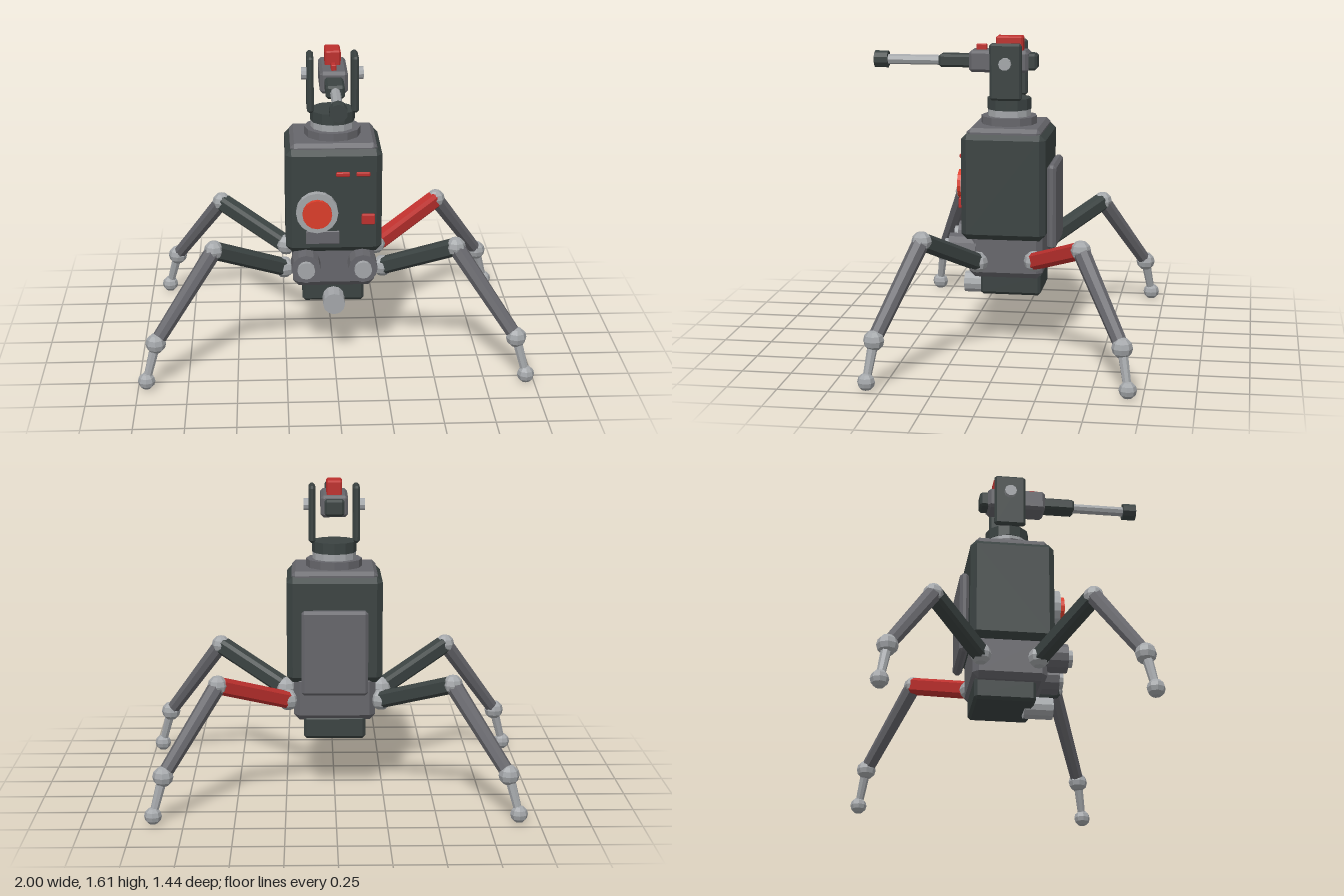
import * as THREE from 'three';
import { ConvexGeometry } from 'three/addons/geometries/ConvexGeometry.js';

const material = (name, color) => {
  const m = new THREE.MeshStandardMaterial({ color });
  m.name = name;
  return m;
};

export function createModel() {
  const model = new THREE.Group();
  model.name = 'walkingTurret';

  const dark = material('dark armour', 0x3b4342);
  const grey = material('mid grey metal', 0x66666b);
  const light = material('light steel', 0xa3a6a9);
  const red = material('red paint', 0xbd302d);
  const lamp = material('bright red lamp', 0xdb3d2a);

  // Give a geometry hard facets
  const flat = (g) => {
    const f = g.index ? g.toNonIndexed() : g;
    f.computeVertexNormals();
    return f;
  };

  const add = (name, geometry, mat, x = 0, y = 0, z = 0, parent = model) => {
    const mesh = new THREE.Mesh(geometry, mat);
    mesh.name = name;
    mesh.position.set(x, y, z);
    parent.add(mesh);
    return mesh;
  };

  // Box with every edge cut by c
  const chamferBox = (w, h, d, c) => {
    const pts = [];
    for (const i of [-0.5, 0.5]) for (const j of [-0.5, 0.5]) for (const k of [-0.5, 0.5]) {
      const p = new THREE.Vector3(i * w, j * h, k * d);
      const s = new THREE.Vector3(i, j, k).multiplyScalar(2 * c);
      pts.push(
        new THREE.Vector3(p.x, p.y - s.y, p.z - s.z),
        new THREE.Vector3(p.x - s.x, p.y, p.z - s.z),
        new THREE.Vector3(p.x - s.x, p.y - s.y, p.z));
    }
    return new ConvexGeometry(pts);
  };

  // Chamfered box given by its limits on each axis
  const block = (name, mat, [x0, x1], [y0, y1], [z0, z1], c) =>
    add(name, chamferBox(x1 - x0, y1 - y0, z1 - z0, c), mat,
      (x0 + x1) / 2, (y0 + y1) / 2, (z0 + z1) / 2);

  // Cylinder along z between z0 and z1
  const rod = (name, mat, r, x, y, z0, z1, sides, rEnd = r, parent = model) =>
    add(name, flat(new THREE.CylinderGeometry(rEnd, r, z1 - z0, sides).rotateX(Math.PI / 2)),
      mat, x, y, (z0 + z1) / 2, parent);

  // Body
  block('upperBody', dark, [-0.245, 0.245], [0.585, 1.135], [-0.2, 0.234], 0.03);
  block('topPlate', grey, [-0.22, 0.22], [1.1, 1.16], [-0.174, 0.206], 0.02);
  block('lowerHull', grey, [-0.21, 0.21], [0.38, 0.62], [-0.182, 0.198], 0.03);
  block('bellyBox', dark, [-0.16, 0.16], [0.28, 0.4], [-0.168, 0.146], 0.015);
  block('backPanel', grey, [-0.17, 0.17], [0.53, 0.97], [-0.247, -0.2], 0.015);

  // Front fittings
  rod('lampRing', light, 0.107, -0.087, 0.815, 0.22, 0.272, 16);
  rod('lampLens', lamp, 0.075, -0.087, 0.815, 0.25, 0.297, 16);
  for (const x of [0.045, 0.147]) {
    block('indicatorSlit', red, [x - 0.035, x + 0.035], [1, 1.022], [0.22, 0.247], 0.004);
  }
  block('indicatorSquare', red, [0.14, 0.208], [0.743, 0.797], [0.22, 0.25], 0.004);
  block('frontLabelPlate', grey, [-0.144, 0.027], [0.636, 0.706], [0.22, 0.241], 0.003);
  for (const x of [-0.145, 0.145]) {
    rod('sensorHousing', grey, 0.075, x, 0.524, 0.16, 0.305, 12);
    rod('sensorEye', light, 0.045, x, 0.524, 0.28, 0.33, 12);
  }
  rod('bellyNozzle', light, 0.057, 0, 0.305, 0.1, 0.25, 12);

  // Rotating neck
  const neckZ = 0.017;
  for (const [name, mat, r, y0, y1] of [
    ['neckBase', grey, 0.145, 1.15, 1.2],
    ['neckBearing', light, 0.112, 1.19, 1.235],
    ['neckCollar', dark, 0.115, 1.235, 1.292],
  ]) {
    add(name, flat(new THREE.CylinderGeometry(r, r, y1 - y0, 12)), mat, 0, (y0 + y1) / 2, neckZ);
  }

  // Yoke arms and pivots
  for (const s of [-1, 1]) {
    add('yokeArm', chamferBox(0.035, 0.292, 0.166, 0.012), dark, s * 0.114, 1.436, 0.019);
    add('yokePivot', flat(new THREE.CylinderGeometry(0.032, 0.032, 0.04, 10).rotateZ(Math.PI / 2)),
      light, s * 0.138, 1.48, 0.019);
  }

  // Gun
  block('gunReceiver', grey, [-0.07, 0.07], [1.426, 1.538], [-0.09, 0.218], 0.015);
  block('gunRear', dark, [-0.05, 0.05], [1.438, 1.522], [-0.132, -0.07], 0.012);
  block('barrelShroud', dark, [-0.047, 0.047], [1.447, 1.513], [0.2, 0.38], 0.012);
  rod('barrel', light, 0.026, 0, 1.479, 0.36, 0.67, 8);
  rod('muzzle', dark, 0.044, 0, 1.479, 0.65, 0.72, 10);
  block('redSightBox', red, [-0.04, 0.04], [1.53, 1.61], [-0.058, 0.082], 0.008);
  block('redSightBead', red, [-0.013, 0.013], [1.53, 1.567], [0.132, 0.187], 0.005);

  // Legs
  const joint = (name, r, p, parent) =>
    add(name, flat(new THREE.SphereGeometry(r, 8, 6)), light, p.x, p.y, p.z, parent);

  // Holder running from a to b, with its own z along the limb
  const limb = (a, b, parent) => {
    const g = new THREE.Group();
    g.position.copy(a).lerp(b, 0.5);
    g.lookAt(b);
    parent.add(g);
    return [g, a.distanceTo(b)];
  };

  const layouts = {
    front: [[0.255, 0.475, 0.145], [0.61, 0.66, 0.362], [0.906, 0.236, 0.541], [0.957, 0.044, 0.57]],
    back: [[0.24, 0.485, -0.147], [0.587, 0.635, -0.42], [0.85, 0.234, -0.647], [0.9, 0.044, -0.68]],
  };
  for (const [end, points] of Object.entries(layouts)) for (const s of [-1, 1]) {
    const leg = new THREE.Group();
    leg.name = end + (s > 0 ? 'LeftLeg' : 'RightLeg');
    model.add(leg);
    const [hip, knee, ankle, foot] = points.map(([x, y, z]) => new THREE.Vector3(s * x, y, z));

    const [thigh, thighLength] = limb(hip, knee, leg);
    add('upperLeg', chamferBox(0.08, 0.085, thighLength, 0.016),
      end === 'back' && s > 0 ? red : dark, 0, 0, 0, thigh);

    const [shin, shinLength] = limb(knee, ankle, leg);
    rod('lowerLeg', grey, 0.044, 0, 0, -shinLength / 2, shinLength / 2, 8, 0.036, shin);

    const [toe, toeLength] = limb(ankle, foot, leg);
    rod('footStrut', light, 0.026, 0, 0, -toeLength / 2, toeLength / 2, 8, 0.02, toe);

    joint('hipJoint', 0.055, hip, leg);
    joint('kneeJoint', 0.051, knee, leg);
    joint('ankleJoint', 0.052, ankle, leg);
    joint('footBall', 0.044, foot, leg);
  }

  return model;
}
